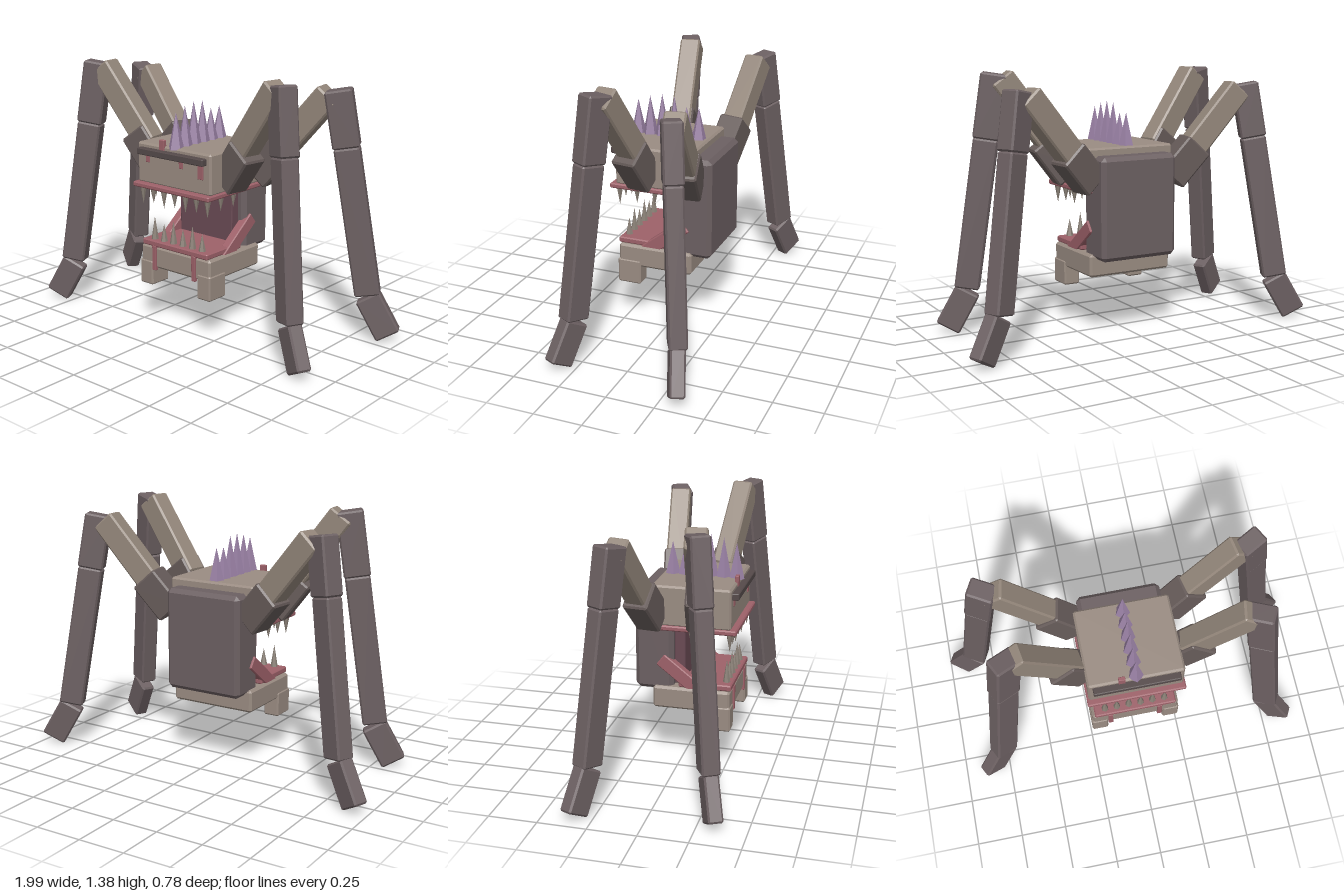
import * as THREE from 'three';
import { ConvexGeometry } from 'three/addons/geometries/ConvexGeometry.js';

const mat = (name, color) => {
  const m = new THREE.MeshStandardMaterial({ color });
  m.name = name;
  return m;
};

export function createModel() {
  const model = new THREE.Group();
  model.name = 'creature';

  const tan = mat('tan shell', 0x9a8c82);
  const limbTan = mat('limb tan', 0x93867a);
  const dark = mat('dark hide', 0x6c6062);
  const hipGrey = mat('hip grey', 0x675c5a);
  const visor = mat('visor grey', 0x554a4a);
  const gum = mat('gum pink', 0x9d6169);
  const throat = mat('throat maroon', 0x6a4a54);
  const purple = mat('spike purple', 0x9b82a6);
  const bone = mat('tooth bone', 0x8c8278);

  // Box with chamfered edges
  const chamferBox = (w, h, d, c) => {
    const pts = [];
    for (const x of [-1, 1]) for (const y of [-1, 1]) for (const z of [-1, 1]) {
      for (let axis = 0; axis < 3; axis++) {
        const inset = [c, c, c];
        inset[axis] = 0;
        pts.push(new THREE.Vector3(
          x * (w / 2 - inset[0]), y * (h / 2 - inset[1]), z * (d / 2 - inset[2])));
      }
    }
    return new ConvexGeometry(pts);
  };

  const add = (name, geometry, material, parent = model) => {
    const mesh = new THREE.Mesh(geometry, material);
    mesh.name = name;
    parent.add(mesh);
    return mesh;
  };

  // Block given by its limits on each axis
  const block = (name, material, [x0, x1], [y0, y1], [z0, z1], c = 0.008) => {
    const mesh = add(name, chamferBox(x1 - x0, y1 - y0, z1 - z0, c), material);
    mesh.position.set((x0 + x1) / 2, (y0 + y1) / 2, (z0 + z1) / 2);
    return mesh;
  };

  const cone = (name, material, r, h, sides, x, y, z, down = false) => {
    const g = new THREE.ConeGeometry(r, h, sides).toNonIndexed();
    g.computeVertexNormals();
    const mesh = add(name, g, material);
    mesh.position.set(x, y + (down ? -h / 2 : h / 2), z);
    if (down) mesh.rotation.x = Math.PI;
  };

  // Body, head and mouth
  block('body', dark, [-0.22, 0.22], [0.42, 0.96], [-0.235, -0.03], 0.022);
  block('head', tan, [-0.25, 0.25], [0.785, 1.0], [-0.14, 0.28], 0.01);
  block('upperGum', gum, [-0.26, 0.26], [0.763, 0.79], [-0.12, 0.31], 0.006);
  block('throat', throat, [-0.18, 0.18], [0.45, 0.77], [-0.03, 0.025], 0.004);
  block('brow', visor, [-0.225, 0.225], [0.942, 0.977], [0.27, 0.315], 0.004);

  // Jaw with corner feet
  block('jaw', tan, [-0.24, 0.24], [0.325, 0.445], [-0.135, 0.275], 0.012);
  block('lowerGum', gum, [-0.225, 0.225], [0.445, 0.477], [0.0, 0.28], 0.006);
  for (const s of [-1, 1]) {
    const x = s * 0.2;
    block('jawFoot', tan, [x - 0.045, x + 0.045], [0.225, 0.36], [0.15, 0.28], 0.008);
    const hinge = add('jawHinge', chamferBox(0.05, 0.072, 0.30, 0.005), gum);
    hinge.position.set(s * 0.205, 0.5, 0.022);
    hinge.rotation.x = 0.66;
  }

  // Drips: x centre, width, bottom, top, front z
  for (const [x, w, y0, y1, z] of [
    [-0.175, 0.026, 0.9, 0.95, 0.285], [0.055, 0.026, 0.9, 0.95, 0.285],
    [0.185, 0.036, 0.865, 0.95, 0.285], [-0.075, 0.035, 0.975, 1.03, 0.285],
    [-0.14, 0.026, 0.315, 0.45, 0.284], [0.135, 0.026, 0.315, 0.45, 0.284],
  ]) block('drip', gum, [x - w / 2, x + w / 2], [y0, y1], [z - 0.02, z], 0.002);

  // Teeth along the front and the sides
  for (let i = 0; i < 6; i++) {
    const x = -0.165 + i * 0.066;
    cone('lowerTooth', bone, 0.02, i % 2 ? 0.095 : 0.125, 6, x, 0.475, 0.245);
  }
  for (let i = 0; i < 7; i++) {
    cone('upperTooth', bone, 0.019, i % 2 ? 0.085 : 0.1, 6, -0.222 + i * 0.074, 0.766, 0.27, true);
  }
  for (const s of [-1, 1]) for (const z of [0.07, 0.17]) {
    cone('sideTooth', bone, 0.018, 0.08, 6, s * 0.225, 0.766, z, true);
  }

  // Back spikes
  [0.18, 0.175, 0.225, 0.23, 0.215, 0.19].forEach((h, i) =>
    cone('backSpike', purple, 0.042, h, 5, 0, 0.99, -0.085 + i * 0.068));

  // Limb segment between two points: deep within its plane, thin across it
  const limb = (name, material, from, to, deep, thin, yaw, parent) => {
    const a = new THREE.Vector3(...from);
    const b = new THREE.Vector3(...to);
    const y = b.clone().sub(a);
    const length = y.length();
    y.normalize();
    const x = new THREE.Vector3(Math.cos(yaw), 0, Math.sin(yaw));
    x.addScaledVector(y, -x.dot(y)).normalize();
    const z = x.clone().cross(y);
    const mesh = add(name, chamferBox(deep, length, thin, 0.009), material, parent);
    mesh.quaternion.setFromRotationMatrix(new THREE.Matrix4().makeBasis(x, y, z));
    mesh.position.copy(a.add(b).multiplyScalar(0.5));
  };

  // Four legs, mirrored left to right
  const legs = {
    front: {
      hip: [[0.235, 0.83, 0.12], [0.375, 1.02, 0.145]],
      thigh: [[0.3, 0.96, 0.13], [0.59, 1.355, 0.182]],
      shin: [[0.615, 1.375, 0.195], [0.657, 1.04, 0.222], [0.755, 0.25, 0.287]],
      foot: [[0.752, 0.235, 0.285], [0.85, 0.035, 0.333]],
    },
    back: {
      hip: [[0.235, 0.82, -0.13], [0.385, 0.99, -0.16]],
      thigh: [[0.3, 0.9, -0.15], [0.625, 1.285, -0.2]],
      shin: [[0.665, 1.31, -0.207], [0.71, 1.02, -0.232], [0.825, 0.25, -0.298]],
      foot: [[0.827, 0.24, -0.295], [0.935, 0.04, -0.335]],
    },
  };
  for (const [end, leg] of Object.entries(legs)) {
    for (const s of [-1, 1]) {
      const group = new THREE.Group();
      group.name = end + (s > 0 ? 'LeftLeg' : 'RightLeg');
      model.add(group);
      const side = ([x, y, z]) => [s * x, y, z];
      const turn = (end === 'front' ? 1 : -1) * s;
      const part = (name, material, a, b, deep, thin, yaw) =>
        limb(name, material, side(a), side(b), deep, thin, turn * yaw, group);
      part('hip', hipGrey, ...leg.hip, 0.16, 0.135, 0.17);
      part('thigh', limbTan, ...leg.thigh, 0.13, 0.11, 0.17);
      part('upperShin', dark, leg.shin[0], leg.shin[1], 0.138, 0.1, 0.47);
      part('lowerShin', dark, leg.shin[1], leg.shin[2], 0.13, 0.092, 0.47);
      part('foot', dark, ...leg.foot, 0.135, 0.075, 0.47);
    }
  }
  return model;
}
